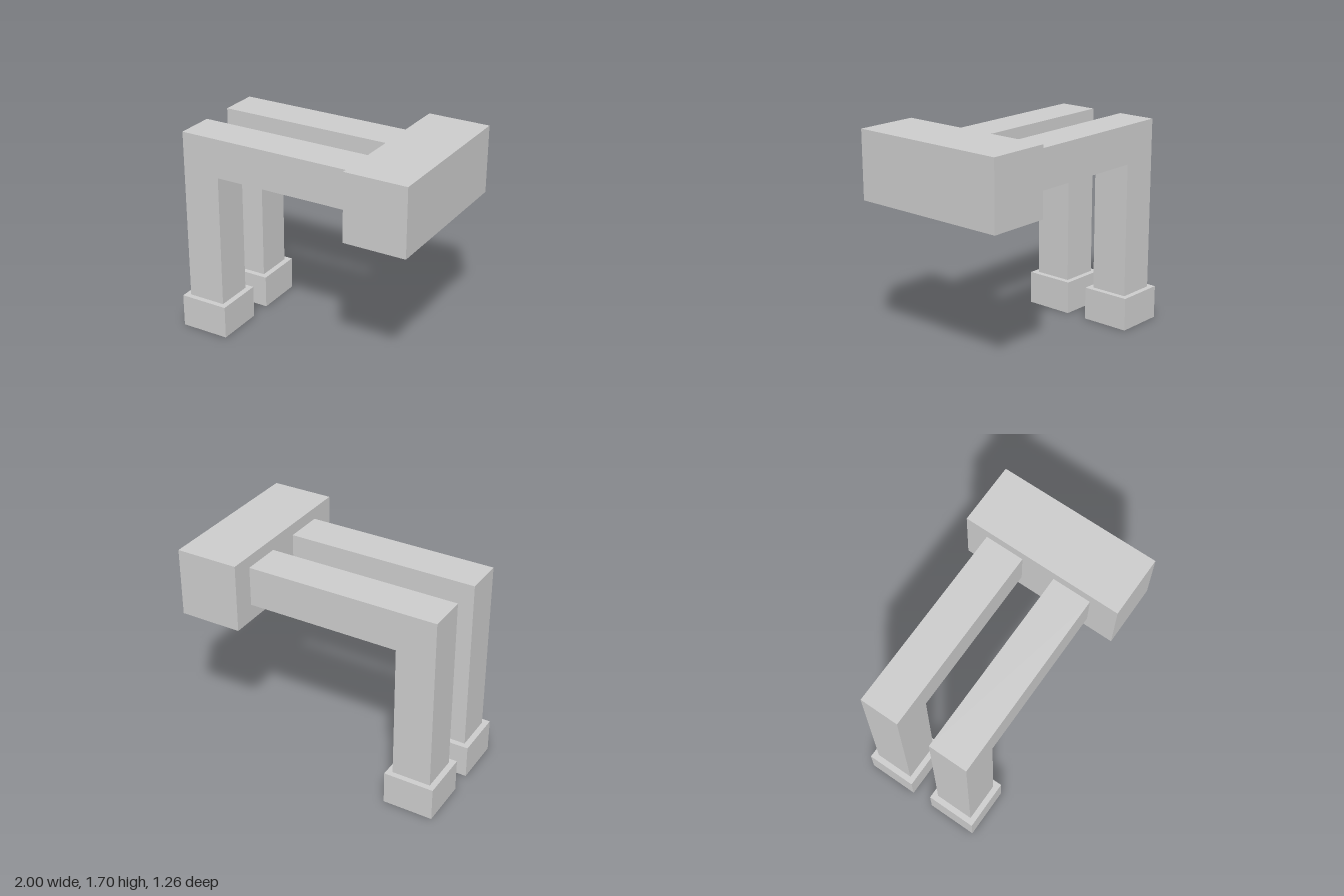
import * as THREE from 'three';

const material = new THREE.MeshStandardMaterial({ color: 0xcccccc, flatShading: true });

function addBox(parent, name, size, position) {
  const mesh = new THREE.Mesh(new THREE.BoxGeometry(...size), material);
  mesh.name = name;
  mesh.position.set(...position);
  parent.add(mesh);
}

// Bent limb: an upright shin and a level thigh in one L-shaped piece
function limbGeometry(depth) {
  const outline = [
    [-0.955, 0.26], [-0.655, 0.26], [-0.655, 1.308],
    [0.52, 1.308], [0.52, 1.61], [-0.955, 1.61],
  ].map(([x, y]) => new THREE.Vector2(x, y));
  return new THREE.ExtrudeGeometry(new THREE.Shape(outline), { depth, bevelEnabled: false })
    .translate(0, 0, -depth / 2);
}

export function createModel() {
  const model = new THREE.Group();
  model.name = 'bentLegs';

  // Wide block joining both legs
  addBox(model, 'hipBlock', [0.48, 0.52, 1.26], [0.76, 1.44, 0]);

  // Two legs, set slightly off centre
  const limb = limbGeometry(0.304);
  for (const [name, z] of [['frontLeg', 0.26], ['backLeg', -0.306]]) {
    const leg = new THREE.Group();
    leg.name = name;
    leg.position.z = z;
    const mesh = new THREE.Mesh(limb, material);
    mesh.name = 'limb';
    leg.add(mesh);
    addBox(leg, 'foot', [0.39, 0.26, 0.39], [-0.805, 0.13, 0]);
    model.add(leg);
  }

  return model;
}
